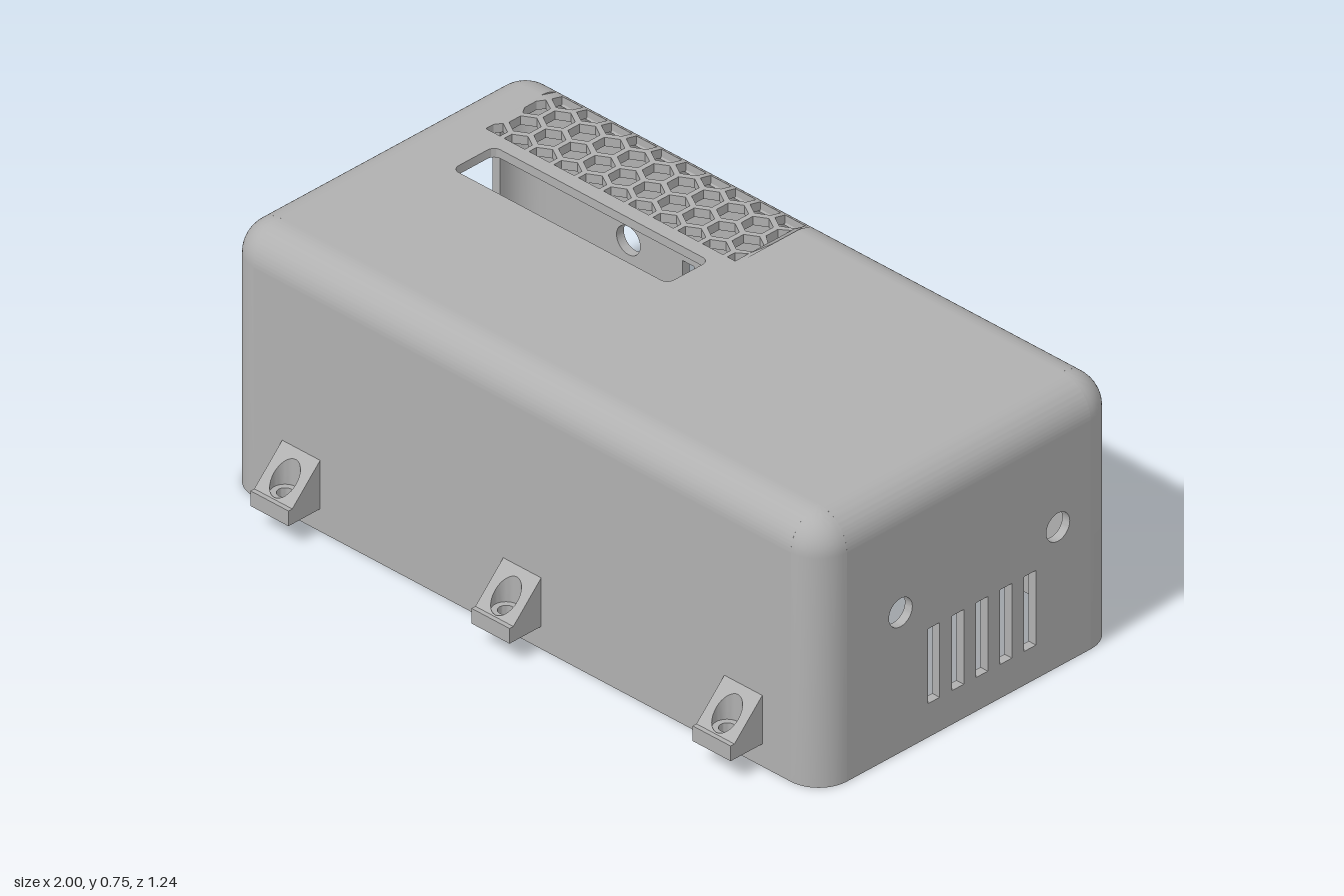
import * as THREE from 'three';
import { toCreasedNormals } from 'three/addons/utils/BufferGeometryUtils.js';

// Overall half sizes, height, fillet radius and wall thickness
const W = 1, D = 0.51, H = 0.745, R = 0.095, T = 0.025;
const grey = new THREE.MeshStandardMaterial({ color: 0xb0b0b0 });
grey.name = 'grey plastic';

function add(parent, name, geometry) {
  const mesh = new THREE.Mesh(toCreasedNormals(geometry, 0.5), grey);
  mesh.name = name;
  parent.add(mesh);
  return mesh;
}

const extrude = (shape, depth) =>
  new THREE.ExtrudeGeometry(shape, { depth, bevelEnabled: false, curveSegments: 16 });

// Extrudes a plan shape (x, -z) upward
const slab = (shape, depth) => extrude(shape, depth).rotateX(-Math.PI / 2);

const polygon = (pts) => new THREE.Shape(pts.map(([x, y]) => new THREE.Vector2(x, y)));
const rect = (x0, y0, x1, y1) => polygon([[x0, y0], [x1, y0], [x1, y1], [x0, y1]]);

function circle(x, y, r) {
  const p = new THREE.Path();
  p.absarc(x, y, r, 0, Math.PI * 2, false);
  return p;
}

function roundedRect(x0, y0, x1, y1, r) {
  const p = new THREE.Path(), q = Math.PI / 2;
  p.absarc(x1 - r, y1 - r, r, 0, q, false);
  p.absarc(x0 + r, y1 - r, r, q, 2 * q, false);
  p.absarc(x0 + r, y0 + r, r, 2 * q, 3 * q, false);
  p.absarc(x1 - r, y0 + r, r, 3 * q, 4 * q, false);
  p.closePath();
  return p;
}

// Row of upright vent slots centred from x, stepping by pitch
const slots = (x, pitch, count, y0, y1) =>
  Array.from({ length: count }, (_, i) => {
    const c = x + i * pitch;
    return rect(c - 0.02, y0, c + 0.02, y1);
  });

// Flat wall facing local +z, with its rounded upper edge in one or more runs [x0, x1, endAngle]
function addWall(parent, name, angle, half, depth, holes, runs) {
  const wall = new THREE.Group();
  wall.name = name;
  wall.rotation.y = angle;
  parent.add(wall);
  const shape = rect(-half, 0, half, H - R);
  shape.holes.push(...holes);
  add(wall, name + 'Panel', extrude(shape, T).translate(0, 0, depth - T));
  for (const [x0, x1, end] of runs) {
    const ring = new THREE.Shape();
    ring.absarc(0, 0, R, 0, end, false);
    ring.absarc(0, 0, R - T, end, 0, true);
    add(wall, name + 'RoundedEdge',
      extrude(ring, x1 - x0).rotateY(-Math.PI / 2).translate(x1, H - R, depth - R));
  }
  return wall;
}

// Mounting lug: drilled foot plate with a sloped, counterbored gusset above it
function addLug(wall, x) {
  const lug = new THREE.Group();
  lug.name = 'mountingLug';
  lug.position.x = x;
  wall.add(lug);
  const foot = rect(-0.064, -0.618, 0.064, -0.505);
  foot.holes.push(circle(0, -0.565, 0.021));
  add(lug, 'lugFoot', slab(foot, 0.043).translate(0, 0.064, 0));
  const gusset = rect(-0.064, -0.605, 0.064, -0.505);
  gusset.holes.push(circle(0, -0.565, 0.037));
  const geo = slab(gusset, 0.1), p = geo.attributes.position;
  for (let i = 0; i < p.count; i++) {
    p.setY(i, 0.107 + (p.getY(i) > 0.05 ? 0.605 - p.getZ(i) : 0));
  }
  add(lug, 'lugGusset', geo);
}

// Honeycomb grille, its back edge bent down to follow the rounded edge
function addGrille(parent) {
  const e = D - R;
  const panel = polygon([[-0.85, 0.205], [0.01, 0.205], [0.01, e], [0.01, 0.465],
    [-0.85, 0.465], [-0.85, e]]);
  [0.44, 0.367, 0.294, 0.221].forEach((y, row) => {
    const count = row % 2 ? 11 : 10, start = row % 2 ? -0.827 : -0.786;
    for (let k = 0; k < count; k++) {
      const pts = [];
      for (let j = 0; j < 6; j++) {
        const a = Math.PI / 6 + j * Math.PI / 3;
        const v = new THREE.Vector2(
          THREE.MathUtils.clamp(start + k * 0.0835 + 0.0398 * Math.cos(a), -0.84, 0),
          THREE.MathUtils.clamp(y + 0.0398 * Math.sin(a), 0.215, 0.455));
        if (!pts.some((q) => q.distanceTo(v) < 1e-4)) pts.push(v);
      }
      if (pts.length > 2) panel.holes.push(new THREE.Path(pts));
    }
  });
  const geo = slab(panel, T).translate(0, H - T, 0), p = geo.attributes.position;
  for (let i = 0; i < p.count; i++) {
    const d = Math.max(0, -p.getZ(i) - e);
    p.setY(i, p.getY(i) - R + Math.sqrt(R * R - d * d));
  }
  add(parent, 'honeycombGrille', geo);
}

export function createModel() {
  const model = new THREE.Group();
  model.name = 'enclosureCover';
  const lx = W - R, lz = D - R, q = Math.PI / 2;

  // Walls; the back edge is cut lower where the grille runs over it
  const front = addWall(model, 'frontWall', 0, lx, D, [], [[-lx, lx, q]]);
  const back = addWall(model, 'backWall', Math.PI, lx, D,
    [...[-0.77, -0.13, 0.627].map((x) => circle(x, 0.4, 0.04)),
      ...slots(0.015, 0.082, 6, 0.12, 0.425)],
    [[-lx, -0.01, q], [-0.01, 0.85, Math.acos((0.465 - lz) / R)], [0.85, lx, q]]);
  addWall(model, 'leftWall', q, lz, W,
    [circle(-0.232, 0.397, 0.04), circle(0.304, 0.397, 0.04),
      ...slots(-0.119, 0.082, 5, 0.096, 0.308)], [[-lz, lz, q]]);
  addWall(model, 'rightWall', -q, lz, W,
    [rect(-0.4, 0.068, -0.142, 0.655)], [[-lz, lz, q]]);

  // Rounded corners, one closed profile swept a quarter turn
  const profile = [new THREE.Vector2(R - T, 0), new THREE.Vector2(R, 0)];
  const N = 12;
  for (let i = 0; i <= N; i++) {
    const a = q * i / N;
    profile.push(new THREE.Vector2(i === N ? 0 : R * Math.cos(a), H - R + R * Math.sin(a)));
  }
  for (let i = N; i >= 0; i--) {
    const a = q * i / N, r = R - T;
    profile.push(new THREE.Vector2(i === N ? 0 : r * Math.cos(a), H - R + r * Math.sin(a)));
  }
  profile.push(new THREE.Vector2(R - T, 0));
  [[1, 1], [1, -1], [-1, -1], [-1, 1]].forEach(([sx, sz], i) => {
    add(model, 'roundedCorner', new THREE.LatheGeometry(profile, 12, i * q, q))
      .position.set(sx * lx, 0, sz * lz);
  });

  // Top with a display slot and a notch that holds the grille
  const top = polygon([[-lx, -lz], [lx, -lz], [lx, lz], [0.01, lz], [0.01, 0.205],
    [-0.85, 0.205], [-0.85, lz], [-lx, lz]]);
  top.holes.push(roundedRect(-0.77, 0.03, -0.045, 0.172, 0.022));
  add(model, 'topPanel', slab(top, T).translate(0, H - T, 0));
  addGrille(model);

  // Three lugs along the front and back
  for (const wall of [front, back]) {
    for (const x of [-0.745, 0, 0.745]) addLug(wall, x);
  }
  return model;
}
